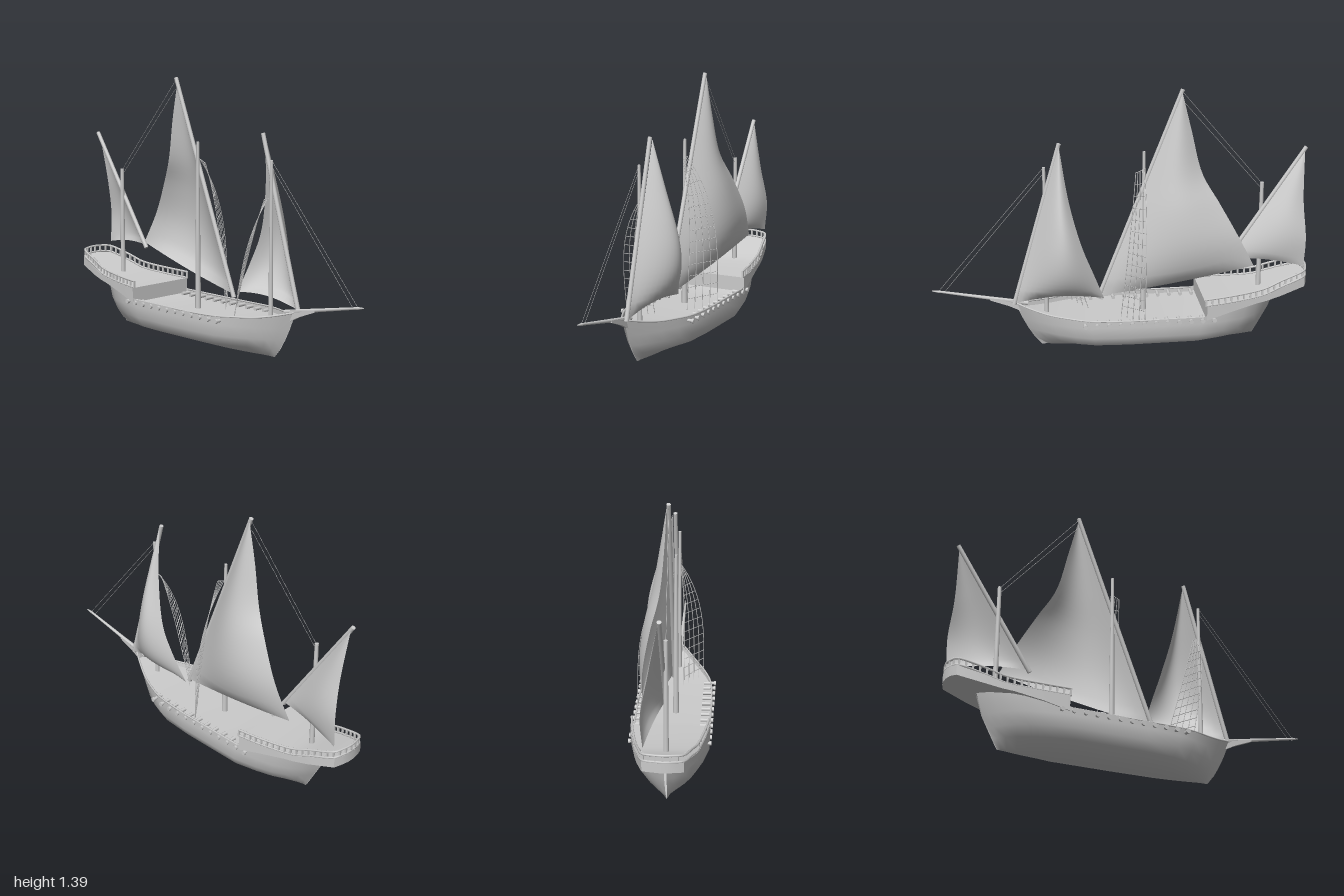
import * as THREE from 'three';
import { toCreasedNormals } from 'three/addons/utils/BufferGeometryUtils.js';

const V = (x, y, z) => new THREE.Vector3(x, y, z);
const mat = new THREE.MeshStandardMaterial({ color: 0xcccccc, side: THREE.DoubleSide });

function add(parent, name, geo) {
  const m = new THREE.Mesh(geo, mat);
  m.name = name;
  parent.add(m);
  return m;
}

function group(parent, name) {
  const g = new THREE.Group();
  g.name = name;
  parent.add(g);
  return g;
}

// Tapered round bar between two points
function rod(parent, name, a, b, r0, r1 = r0, sides = 10) {
  const m = add(parent, name, new THREE.CylinderGeometry(r1, r0, a.distanceTo(b), sides));
  m.position.copy(a).lerp(b, 0.5);
  m.quaternion.setFromUnitVectors(V(0, 1, 0), b.clone().sub(a).normalize());
}

// Surface through rows of points
function loft(rows, crease) {
  const n = rows[0].length, index = [];
  for (let i = 0; i < rows.length - 1; i++)
    for (let j = 0; j < n - 1; j++) {
      const a = i * n + j, b = a + n;
      index.push(a, a + 1, b, b, a + 1, b + 1);
    }
  const g = new THREE.BufferGeometry().setFromPoints(rows.flat());
  g.setIndex(index);
  g.computeVertexNormals();
  return crease ? toCreasedNormals(g, crease) : g;
}

// Piecewise linear lookup in [key, value] pairs with rising keys
function lookup(t, x) {
  for (let i = 1; i < t.length; i++)
    if (x <= t[i][0]) {
      const [a, b] = [t[i - 1], t[i]];
      return b[1] + (a[1] - b[1]) * (b[0] - x) / (b[0] - a[0]);
    }
  return t[t.length - 1][1];
}

// Hull lines: s runs from bow (0) to stern (1)
const PLAN = [[0, 0.01], [0.03, 0.17], [0.06, 0.31], [0.12, 0.56], [0.19, 0.78], [0.26, 0.93], [0.4, 1], [0.55, 1],
  [0.7, 1], [0.8, 0.91], [0.87, 0.79], [0.92, 0.62], [0.96, 0.4], [0.985, 0.2], [1, 0.03]];
const SHEER = [[0, 0.255], [0.06, 0.232], [0.12, 0.217], [0.26, 0.205], [0.4, 0.2], [0.7, 0.2], [0.8, 0.25], [1, 0.28]];
const STEM = [[0, 0.43], [0.05, 0.47], [0.1, 0.5], [0.16, 0.53], [0.25, 0.57]];
const STERN = [[0, -0.72], [0.2, -0.825], [0.28, -0.842]];
const SECTION = [[0, 0], [0.05, 0.004], [0.17, 0.05], [0.197, 0.1], [0.2, 0.16], [0.2, null]];

function hullPoint(s, halfWidth, y) {
  const stem = lookup(STEM, y), stern = lookup(STERN, y);
  const aft = 1 - 0.35 * Math.max(0, (s - 0.7) / 0.3) * Math.max(0, 1 - y / 0.18);
  return V(halfWidth * lookup(PLAN, s) * aft, y, stem + (stern - stem) * s);
}
const mirror = p => V(-p.x, p.y, p.z);

function buildHull(root) {
  const rows = PLAN.map(([s]) => {
    const half = SECTION.map(([w, y]) => hullPoint(s, w, y ?? lookup(SHEER, s)));
    return [...half.slice(1).reverse().map(mirror), ...half];
  });
  add(root, 'hull', loft(rows, 0.9));

  // Main deck, a little below the gunwale
  const deck = PLAN.filter(([s]) => s <= 0.8).map(([s]) => {
    const p = hullPoint(s, 0.199, lookup(SHEER, s) - 0.03);
    return [mirror(p), p];
  });
  add(root, 'mainDeck', loft(deck));

  // Gunwale caps
  const edge = PLAN.filter(([s]) => s <= 0.7).map(([s]) => hullPoint(s, 0.195, lookup(SHEER, s) - 0.002));
  for (const pts of [edge, edge.map(mirror)])
    add(root, 'gunwale', new THREE.TubeGeometry(new THREE.CatmullRomCurve3(pts), 40, 0.005, 6));

  // Beak below the bowsprit
  const beak = new THREE.Shape([[0.7, 0.287], [0.54, 0.262], [0.53, 0.2], [0.6, 0.236], [0.7, 0.275]]
    .map(([z, y]) => new THREE.Vector2(-z, y)));
  const geo = new THREE.ExtrudeGeometry(beak, { depth: 0.02, bevelEnabled: false });
  geo.translate(0, 0, -0.01).rotateY(Math.PI / 2);
  add(root, 'beak', geo);
  rod(root, 'bowsprit', V(0, 0.245, 0.5), V(0, 0.338, 0.97), 0.012, 0.006);
  rod(root, 'bowspritTip', V(0, 0.336, 0.96), V(0, 0.342, 1), 0.008, 0.002);
}

// Raised stern deck: z, half width, underside, top
const POOP = [[-0.43, 0.202, 0.18, 0.26], [-0.56, 0.186, 0.215, 0.266], [-0.7, 0.163, 0.245, 0.277],
  [-0.76, 0.152, 0.253, 0.287], [-0.84, 0.136, 0.27, 0.315], [-0.975, 0.1, 0.303, 0.355], [-0.992, 0.06, 0.309, 0.36],
  [-1, 0.02, 0.31, 0.362]];

function buildPoop(root) {
  const rows = POOP.map(([z, w, b, t]) => [V(w, b, z), V(w, t, z), V(-w, t, z), V(-w, b, z), V(w, b, z)]);
  const cap = ([z, , b, t]) => Array(5).fill(0).map(() => V(0, (b + t) / 2, z));
  add(root, 'sternDeck', loft([cap(POOP[0]), ...rows, cap(POOP[POOP.length - 1])], 0.5));

  // Balustrade around the stern
  const rail = group(root, 'sternRail');
  const side = POOP.map(([z, w, , t]) => V(w - 0.006, t, z + 0.005));
  const outline = [...side, ...side.slice().reverse().map(mirror)];
  const path = new THREE.CurvePath();
  for (let i = 1; i < outline.length; i++) path.add(new THREE.LineCurve3(outline[i - 1], outline[i]));
  for (const [h, r] of [[0.003, 0.006], [0.037, 0.006]]) {
    const curve = new THREE.CatmullRomCurve3(outline.map(p => V(p.x, p.y + h, p.z)), false, 'centripetal');
    add(rail, 'handrail', new THREE.TubeGeometry(curve, 90, r, 6));
  }
  for (const p of path.getSpacedPoints(38))
    add(rail, 'baluster', new THREE.BoxGeometry(0.009, 0.04, 0.009)).position.set(p.x, p.y + 0.02, p.z);
}

// Lateen sail: straight luff along the yard, curved leech, belly to one side
function buildRig(root, name, low, high, tack, peak, leech, belly, footRise) {
  const rig = group(root, name);
  rod(rig, 'yard', low, high, 0.012, 0.011);
  const edge = new THREE.CatmullRomCurve3([...leech, peak]);
  const rows = [];
  for (let i = 0; i <= 24; i++) {
    const v = i / 24, a = tack.clone().lerp(peak, v), b = edge.getPoint(v), row = [];
    for (let j = 0; j <= 16; j++) {
      const u = j / 16, p = a.clone().lerp(b, u), swell = Math.sin(Math.PI * u);
      p.x += belly * swell * Math.sin(Math.PI * Math.pow(v, 0.58));
      p.y += footRise * swell * (1 - v) ** 3;
      row.push(p);
    }
    rows.push(row);
  }
  add(rig, 'sail', loft(rows));
}

// Rope net from a deck line (a to b) bellying out and up to the masthead (topA to topB)
function buildNet(root, name, a, b, topA, topB) {
  const net = group(root, name);
  const at = (u, v) => {
    const p = a.clone().lerp(b, u), t = topA.clone().lerp(topB, u);
    return V(p.x + (t.x - p.x) * Math.pow(v, 3.4), p.y + (t.y - p.y) * v, p.z + (t.z - p.z) * v);
  };
  for (let i = 0; i <= 4; i++) {
    const pts = Array.from({ length: 13 }, (_, k) => at(i / 4, k / 12));
    add(net, 'shroud', new THREE.TubeGeometry(new THREE.CatmullRomCurve3(pts), 24, 0.002, 4));
  }
  for (let k = 1; k <= 13; k++) rod(net, 'ratline', at(0, k / 13), at(1, k / 13), 0.0018, 0.0018, 4);
}

export function createModel() {
  const root = new THREE.Group();
  root.name = 'sailingShip';
  buildHull(root);
  buildPoop(root);

  // Masts
  rod(root, 'foreMast', V(0, 0.17, 0.4), V(0, 1, 0.4), 0.012, 0.008);
  rod(root, 'mainMast', V(-0.01, 0.16, -0.12), V(-0.01, 1.06, -0.12), 0.016, 0.008);
  rod(root, 'mizzenMast', V(0, 0.26, -0.745), V(0, 0.87, -0.745), 0.014, 0.01);

  // Yards and sails
  buildRig(root, 'foreRig', V(0.018, 0.25, 0.572), V(0.02, 1.13, 0.322), V(0.026, 0.26, 0.565), V(0.034, 1.12, 0.324),
    [V(0.065, 0.28, 0.1), V(0.1, 0.44, 0.16), V(0.115, 0.6, 0.22), V(0.085, 0.83, 0.28)], 0.105, 0.025);
  buildRig(root, 'mainRig', V(0.014, 0.26, 0.125), V(0.014, 1.39, -0.312), V(0.022, 0.275, 0.115), V(0.024, 1.375, -0.31),
    [V(0.115, 0.445, -0.69), V(0.125, 0.62, -0.6), V(0.095, 0.8, -0.5), V(0.055, 0.95, -0.415), V(0.033, 1.17, -0.36)],
    0.08, -0.01);
  buildRig(root, 'mizzenRig', V(0.014, 0.44, -0.56), V(0.014, 1.06, -0.97), V(0.022, 0.455, -0.575), V(0.022, 1.04, -0.962),
    [V(0.095, 0.42, -0.965), V(0.105, 0.58, -0.968), V(0.07, 0.78, -0.955)], 0.03, 0.015);

  // Rope nets and stays
  buildNet(root, 'mainNet', V(0.194, 0.19, -0.1), V(0.07, 0.17, 0.01), V(0.003, 0.97, -0.12), V(0.003, 0.95, -0.075));
  buildNet(root, 'foreNet', V(-0.14, 0.2, 0.28), V(-0.035, 0.18, 0.175), V(-0.01, 0.81, 0.39), V(-0.01, 0.8, 0.36));
  for (const d of [0, 0.03]) {
    rod(root, 'foreStay', V(0, 0.995 - d, 0.405), V(0, 0.338 - d * 0.2, 0.965 - d), 0.001, 0.001, 4);
    rod(root, 'aftStay', V(0.014, 1.375 - d * 1.5, -0.315), V(0, 0.868 - d, -0.74), 0.001, 0.001, 4);
  }

  // Guns along both sides
  const guns = group(root, 'guns');
  for (let i = 0; i < 12; i++)
    for (const s of [-1, 1]) {
      const z = 0.212 - i * 0.062;
      rod(guns, 'gun', V(s * 0.145, 0.182, z), V(s * 0.21, 0.182, z), 0.01, 0.008);
      rod(guns, 'muzzle', V(s * 0.2, 0.182, z), V(s * 0.211, 0.182, z), 0.012);
    }
  return root;
}
